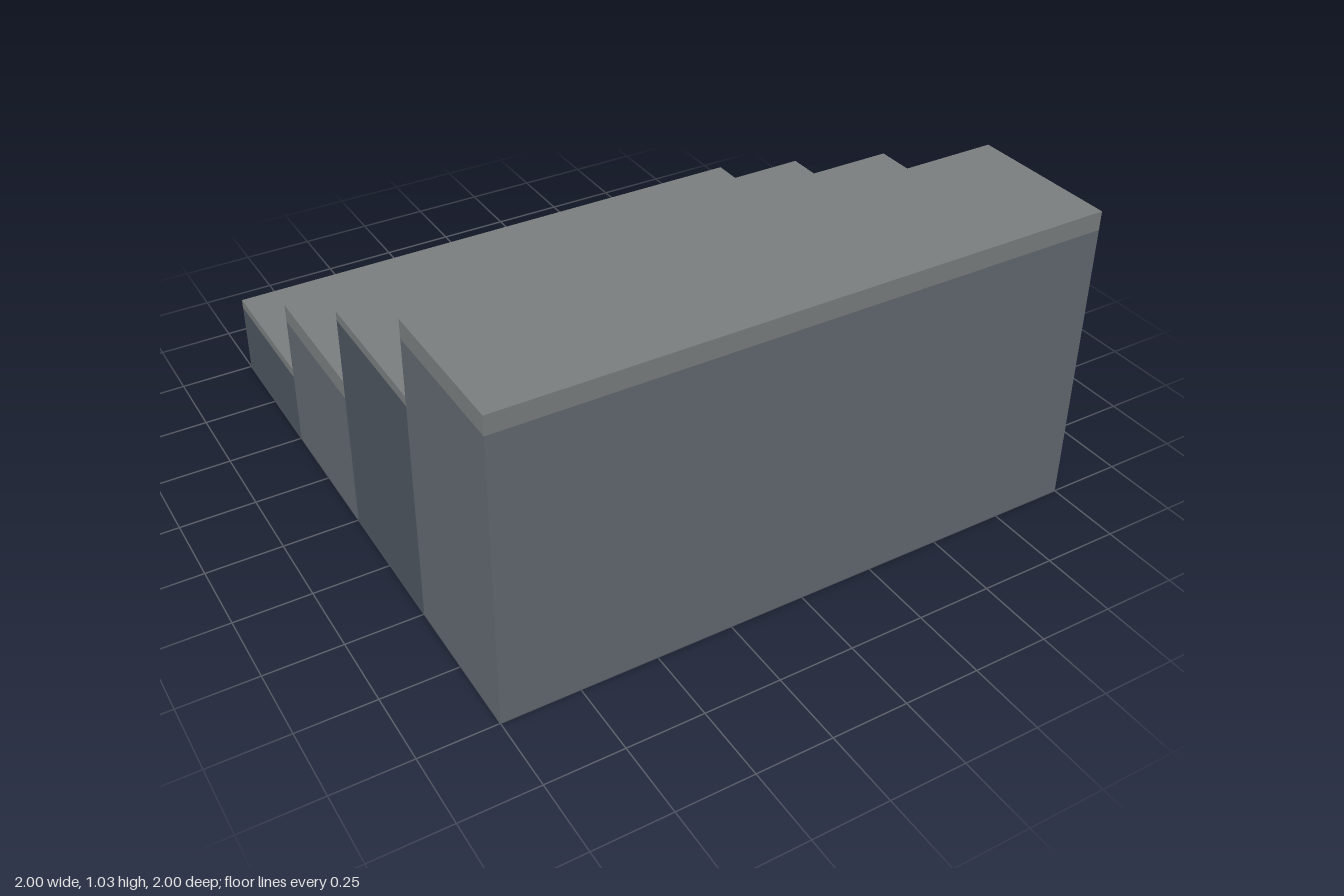
import * as THREE from 'three';

const COUNT = 4, WIDTH = 2, DEPTH = 0.5, RISE = 0.25, LIP = 0.031;

export function createModel() {
  const group = new THREE.Group();
  const treadMaterial = new THREE.MeshStandardMaterial({ color: 0x787d7d });
  const darkMaterial = new THREE.MeshStandardMaterial({ color: 0x4c555d });
  const lightMaterial = new THREE.MeshStandardMaterial({ color: 0x60686f });

  // box spanning the full width between two heights
  function addBlock(name, bottom, top, z, material) {
    const mesh = new THREE.Mesh(new THREE.BoxGeometry(WIDTH, top - bottom, DEPTH), material);
    mesh.position.set(0, (bottom + top) / 2, z);
    mesh.name = name;
    group.add(mesh);
  }

  // steps climb from the back to the front, alternating dark and light blocks
  for (let i = 0; i < COUNT; i++) {
    const isLight = i % 2 === 1;
    const height = RISE * (i + 1);
    const z = -1 + DEPTH * (i + 0.5);
    // the slab reaches further down on the light steps
    const seam = isLight ? height - LIP : height;
    addBlock(`stepBlock${i + 1}`, 0, seam, z, isLight ? lightMaterial : darkMaterial);
    addBlock(`treadSlab${i + 1}`, seam, height + LIP, z, treadMaterial);
  }
  return group;
}
